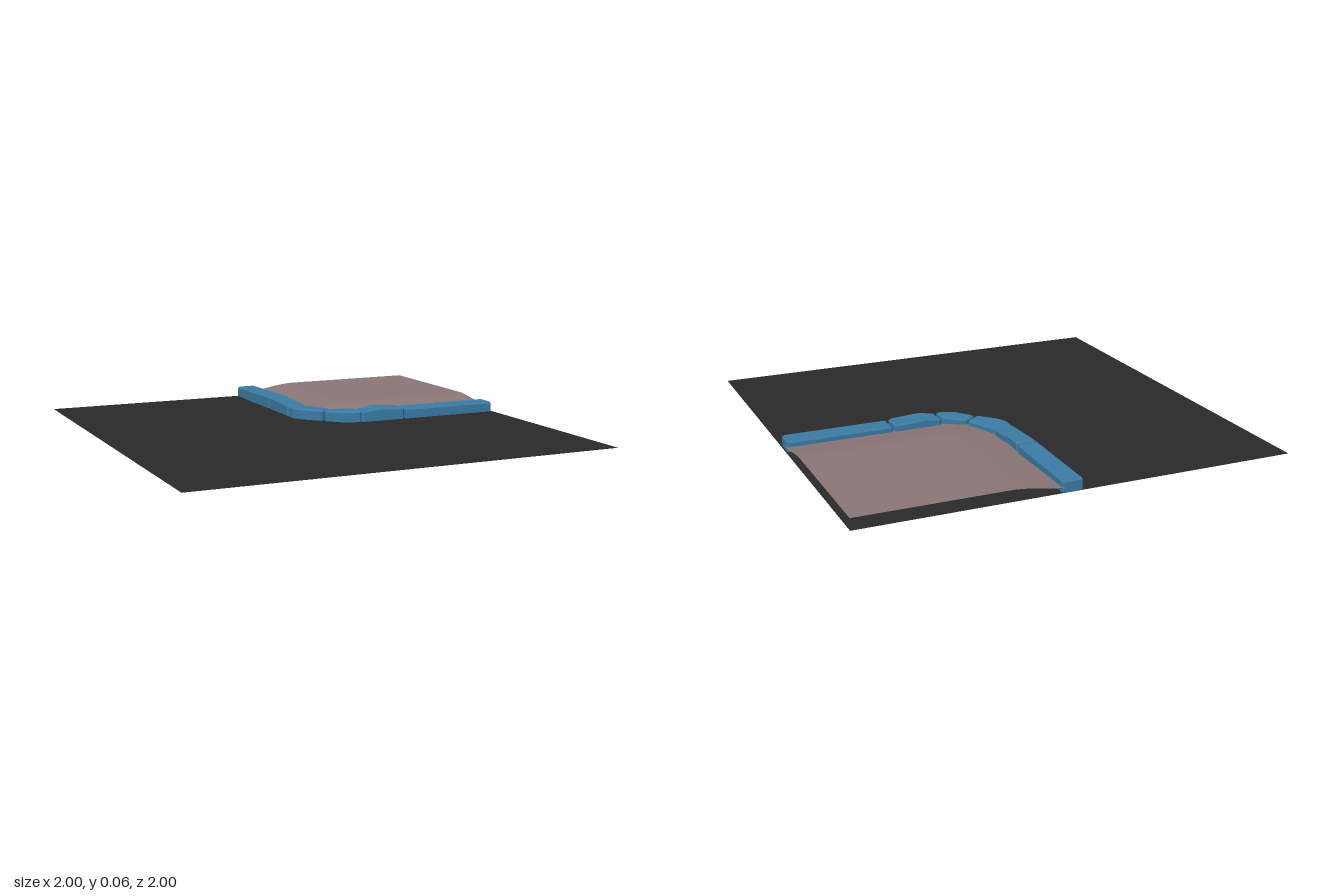
import * as THREE from 'three';

const stoneMat = new THREE.MeshStandardMaterial({ color: 0x3b7ba3, flatShading: true });
const roadMat = new THREE.MeshStandardMaterial({ color: 0x2a2a2a, side: THREE.DoubleSide });
const pavingMat = new THREE.MeshStandardMaterial({ color: 0x8a7676, side: THREE.DoubleSide });

// Cut each corner of an outline of [x, z, height] points.
function cutCorners(pts, cut) {
  const n = pts.length, out = [];
  pts.forEach((p, i) => {
    for (const q of [pts[(i + n - 1) % n], pts[(i + 1) % n]]) {
      const t = Math.min(0.3, cut / Math.hypot(q[0] - p[0], q[1] - p[1]));
      out.push(p.map((v, k) => v + (q[k] - v) * t));
    }
  });
  return out;
}

// Move an outline inwards by a fixed distance.
function inset(pts, dist) {
  const n = pts.length;
  const normal = (a, b) => {
    const l = Math.hypot(b[0] - a[0], b[1] - a[1]);
    return [-(b[1] - a[1]) / l, (b[0] - a[0]) / l];
  };
  return pts.map((p, i) => {
    const m = normal(pts[(i + n - 1) % n], p), k = normal(p, pts[(i + 1) % n]);
    const f = dist / (1 + m[0] * k[0] + m[1] * k[1]);
    return [p[0] + (m[0] + k[0]) * f, p[1] + (m[1] + k[1]) * f, p[2]];
  });
}

// Curb stone with worn top edges; the outline runs clockwise seen from above.
function curbStone(name, outline) {
  const bevel = 0.008;
  const base = cutCorners(outline, 0.007);
  const n = base.length;
  const top = inset(base, bevel);
  const rings = [
    base.map(p => [p[0], 0, p[1]]),
    base.map(p => [p[0], p[2] - bevel, p[1]]),
    top.map(p => [p[0], p[2], p[1]]),
  ];
  const mid = [0, 1, 2].map(k => rings[2].reduce((s, p) => s + p[k], 0) / n);
  const pos = [];
  for (let i = 0; i < n; i++) {
    const j = (i + 1) % n;
    for (let r = 0; r < 2; r++) {
      const [a, b, c, d] = [rings[r][i], rings[r][j], rings[r + 1][j], rings[r + 1][i]];
      pos.push(...a, ...d, ...c, ...a, ...c, ...b);
    }
    pos.push(...mid, ...rings[2][j], ...rings[2][i]);
  }
  const geo = new THREE.BufferGeometry();
  geo.setAttribute('position', new THREE.Float32BufferAttribute(pos, 3));
  geo.computeVertexNormals();
  const mesh = new THREE.Mesh(geo, stoneMat);
  mesh.name = name;
  return mesh;
}

// Paving sheet: a fan from the rounded curb line to the far corner, dipping at the curb.
function pavingSheet() {
  const ex = 0.08, ez = -0.09, R = 0.2, rows = 20;
  const path = [];
  for (let i = 0; i < 16; i++) path.push([ex, -1 + (1 + ez - R) * i / 16]);
  for (let i = 0; i <= 12; i++) {
    const a = Math.PI / 2 * i / 12;
    path.push([ex + R - R * Math.cos(a), ez - R + R * Math.sin(a)]);
  }
  for (let i = 1; i <= 16; i++) path.push([ex + R + (1 - ex - R) * i / 16, ez]);

  const height = (x, z) => {
    const dx = x - ex, dz = ez - z;
    const d = dx < R && dz < R ? R - Math.hypot(R - dx, R - dz) : Math.min(dx, dz);
    return 0.021 + 0.031 * THREE.MathUtils.smoothstep(d, -0.02, 0.25);
  };
  const pos = [], idx = [];
  path.forEach(([px, pz], i) => {
    for (let j = 0; j <= rows; j++) {
      const s = Math.pow(j / rows, 1.5);
      const x = px + (1 - px) * s, z = pz + (-1 - pz) * s;
      pos.push(x, height(x, z), z);
      if (i < path.length - 1 && j < rows) {
        const a = i * (rows + 1) + j, b = a + rows + 1;
        idx.push(a, b, b + 1, a, b + 1, a + 1);
      }
    }
  });
  const geo = new THREE.BufferGeometry();
  geo.setAttribute('position', new THREE.Float32BufferAttribute(pos, 3));
  geo.setIndex(idx);
  geo.computeVertexNormals();
  const mesh = new THREE.Mesh(geo, pavingMat);
  mesh.name = 'paving';
  return mesh;
}

export function createModel() {
  const model = new THREE.Group();
  model.name = 'streetCorner';

  const road = new THREE.Mesh(new THREE.PlaneGeometry(2, 2).rotateX(-Math.PI / 2), roadMat);
  road.name = 'road';
  model.add(road, pavingSheet());

  // Curb stones from the back edge, around the corner, to the left edge
  const curb = new THREE.Group();
  curb.name = 'curb';
  curb.add(
    curbStone('curbBackLong', [
      [0.005, -0.997, 0.052], [0.1, -0.997, 0.052], [0.1, -0.565, 0.062], [0.005, -0.565, 0.062]]),
    curbStone('curbBackShort', [
      [0.005, -0.552, 0.063], [0.098, -0.552, 0.064], [0.091, -0.46, 0.06], [0.1, -0.4, 0.056],
      [0.1, -0.322, 0.05], [0.005, -0.318, 0.052]]),
    curbStone('curbCornerBack', [
      [0.005, -0.31, 0.051], [0.1, -0.312, 0.05], [0.165, -0.167, 0.05],
      [0.1, -0.127, 0.052], [0.03, -0.205, 0.053], [0.005, -0.255, 0.052]]),
    curbStone('curbCornerFront', [
      [0.11, -0.118, 0.051], [0.168, -0.157, 0.05], [0.26, -0.098, 0.056],
      [0.262, -0.017, 0.055], [0.18, -0.042, 0.054]]),
    curbStone('curbSideShort', [
      [0.27, -0.11, 0.051], [0.35, -0.112, 0.063], [0.495, -0.11, 0.055],
      [0.495, -0.014, 0.055], [0.35, -0.013, 0.063], [0.27, -0.018, 0.051]]),
    curbStone('curbSideLong', [
      [0.506, -0.11, 0.05], [0.993, -0.11, 0.05], [0.993, -0.014, 0.05], [0.506, -0.014, 0.05]]),
  );
  model.add(curb);
  return model;
}
